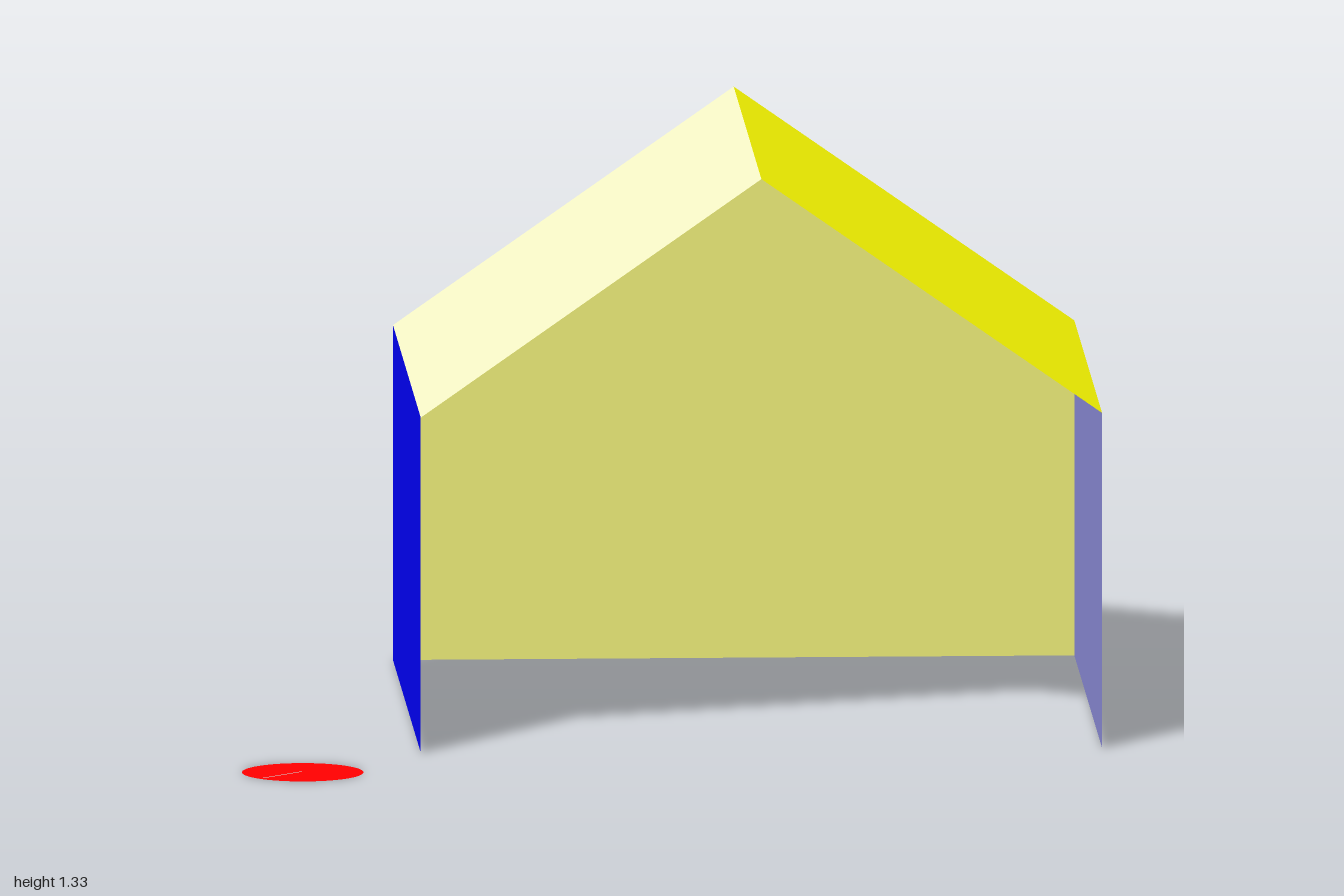
import * as THREE from 'three';

const LEFT = -0.575, RIGHT = 0.995, RIDGE = 0.21;
const EAVES = 0.78, TOP = 1.33, BACK = -0.92, FRONT = 0.49;

function addMesh(group, name, geometry, color) {
  const material = new THREE.MeshStandardMaterial({ color, side: THREE.DoubleSide });
  const mesh = new THREE.Mesh(geometry, material);
  mesh.name = name;
  group.add(mesh);
  return mesh;
}

// Flat sheet running from back to front between two points of the house profile
function sheet([x0, y0], [x1, y1]) {
  const geometry = new THREE.PlaneGeometry(1, 1);
  const pos = geometry.attributes.position;
  for (let i = 0; i < pos.count; i++) {
    const t = pos.getX(i) + 0.5;
    const z = pos.getY(i) > 0 ? BACK : FRONT;
    pos.setXYZ(i, x0 + (x1 - x0) * t, y0 + (y1 - y0) * t, z);
  }
  geometry.computeVertexNormals();
  return geometry;
}

export function createModel() {
  const model = new THREE.Group();
  model.name = 'house';

  // House profile, going over the top from left to right
  const profile = [[LEFT, 0], [LEFT, EAVES], [RIDGE, TOP], [RIGHT, EAVES], [RIGHT, 0]];
  const parts = [
    ['wallMinusX', 0x0000ff],
    ['roofMinusX', 0xf8f8c8],
    ['roofPlusX', 0xffff00],
    ['wallPlusX', 0x8d8ddb],
  ];
  parts.forEach(([name, color], i) => addMesh(model, name, sheet(profile[i], profile[i + 1]), color));

  // Gabled back wall; the front stays open
  const gable = new THREE.Shape(profile.map(([x, y]) => new THREE.Vector2(x, y)));
  const backWall = new THREE.ShapeGeometry(gable).rotateY(Math.PI);
  backWall.scale(-1, 1, 1);
  addMesh(model, 'backWall', backWall, 0xeaea76).position.z = BACK;

  // Round ground disc beside the open front, with a fine radial mark
  const disc = new THREE.Group();
  disc.name = 'groundDisc';
  disc.position.set(-0.86, 0, 0.777);
  addMesh(disc, 'disc', new THREE.CircleGeometry(0.14, 64).rotateX(-Math.PI / 2), 0xff0000);
  const mark = new THREE.PlaneGeometry(0.138, 0.005).translate(0.069, 0, 0).rotateX(-Math.PI / 2);
  const line = addMesh(disc, 'radialMark', mark, 0xcccccc);
  line.rotation.y = -Math.PI * 0.75;
  line.position.y = 0.002;
  model.add(disc);

  return model;
}
